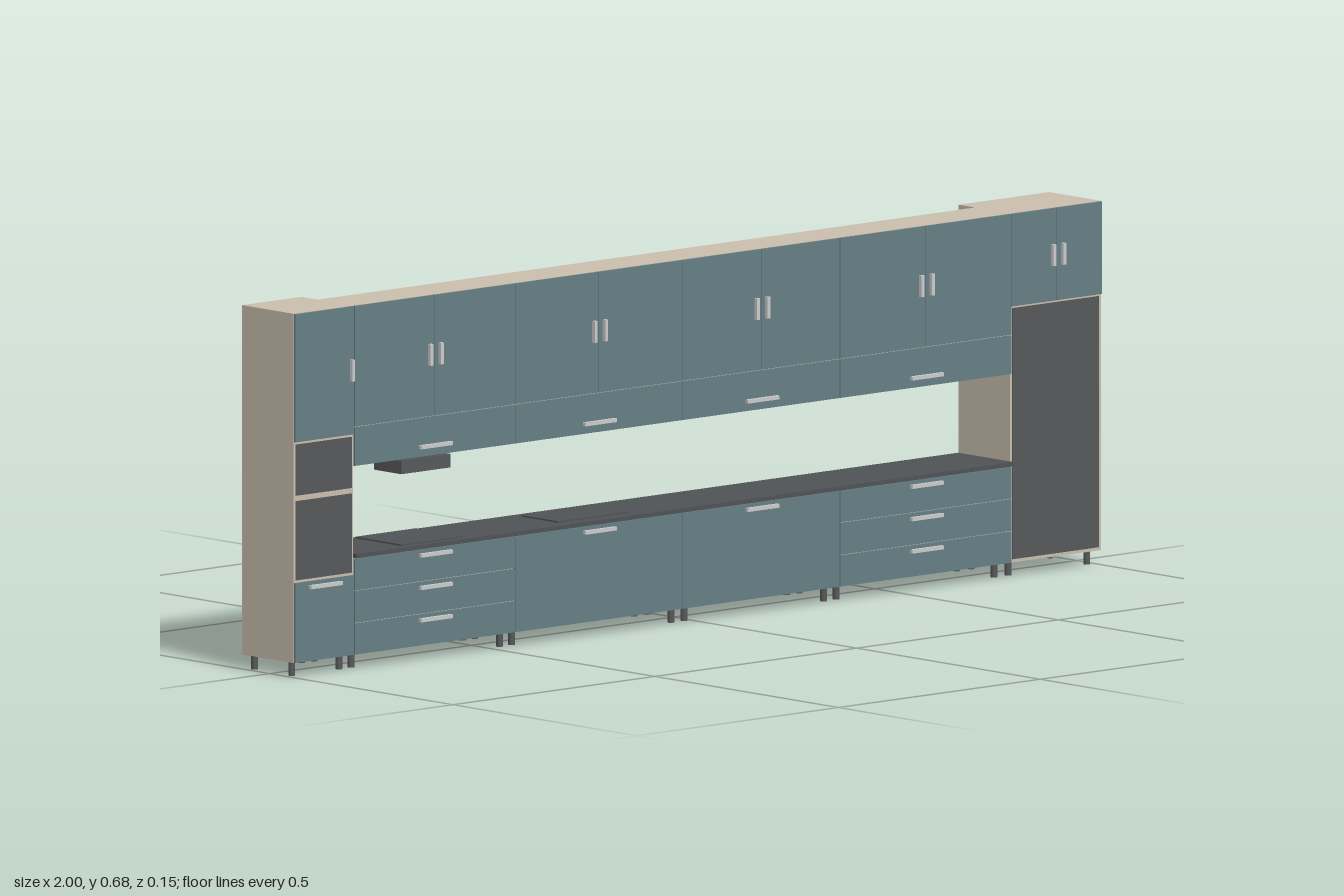
import * as THREE from 'three';

const mat = (name, color) => {
  const m = new THREE.MeshStandardMaterial({ color });
  m.name = name;
  return m;
};

export function createModel() {
  const root = new THREE.Group();
  root.name = 'kitchenWall';
  const beige = mat('beige carcass', 0xcbbfad);
  const teal = mat('teal front', 0x678085);
  const grey = mat('grey back panel', 0xcfcfcd);
  const steel = mat('steel handle', 0xcccccc);
  const dark = mat('dark appliance', 0x57585a);
  const stone = mat('dark worktop', 0x505356);

  // Box given by its limits on each axis
  const box = (name, m, x0, x1, y0, y1, z0, z1) => {
    const mesh = new THREE.Mesh(new THREE.BoxGeometry(x1 - x0, y1 - y0, z1 - z0), m);
    mesh.position.set((x0 + x1) / 2, (y0 + y1) / 2, (z0 + z1) / 2);
    mesh.name = name;
    root.add(mesh);
    return mesh;
  };

  const BACK = -0.075, FACE = 0.066, DOOR = 0.07, GRIP = 0.077;
  const FOOT = 0.027, TOP = 0.675, L = -0.853, R = 0.775, G = 0.0007;
  const UPPER = 0.377, SPLIT = 0.45, UPPER_BACK = -0.03;

  // Carcass with a grey back sheet
  const cabinet = (name, x0, x1, y0, y1, zBack) => {
    box(name, beige, x0, x1, y0, y1, zBack + 0.001, FACE);
    box(name + 'Back', grey, x0, x1, y0, y1, zBack, zBack + 0.001);
  };
  cabinet('ovenColumn', -1, L, FOOT, TOP, BACK);
  cabinet('fridgeColumn', R, 1, FOOT, TOP, BACK);
  cabinet('baseCabinet', L, R, FOOT, 0.207, BACK);
  cabinet('wallCabinet', L, R, UPPER, TOP, UPPER_BACK);

  // Fronts, separated by narrow gaps
  const front = (name, x0, x1, y0, y1) =>
    box(name, teal, x0 + G, x1 - G, y0 + G, y1 - G, FACE, DOOR);
  const barHandle = (x, y) =>
    box('barHandle', steel, x - 0.039, x + 0.039, y - 0.0035, y + 0.0035, DOOR, GRIP);
  const pullHandle = (x, y) =>
    box('pullHandle', steel, x - 0.0035, x + 0.0035, y - 0.02, y + 0.02, DOOR, GRIP);

  const edges = [L, -0.455, -0.04, 0.35, R];
  for (let i = 0; i < 4; i++) {
    const x0 = edges[i], x1 = edges[i + 1], c = (x0 + x1) / 2;
    // Wall units: a pair of doors above a flap
    front('wallDoor', x0, c, SPLIT, TOP);
    front('wallDoor', c, x1, SPLIT, TOP);
    front('wallFlap', x0, x1, UPPER, SPLIT);
    pullHandle(c - 0.013, 0.565);
    pullHandle(c + 0.013, 0.565);
    barHandle(c, 0.396);
    // Base units: outer ones have three drawers, inner ones a single front
    const rows = i === 0 || i === 3 ? [FOOT, 0.086, 0.146, 0.206] : [FOOT, 0.206];
    for (let j = 1; j < rows.length; j++) {
      front('baseFront', x0, x1, rows[j - 1], rows[j]);
      barHandle(c, rows[j] - 0.011);
    }
  }

  // Oven column
  front('ovenColumnDoor', -1, L, 0.436, TOP);
  pullHandle(-0.861, 0.556);
  box('microwave', dark, -0.996, L - 0.004, 0.337, 0.432, FACE, FACE + 0.001);
  box('oven', dark, -0.996, L - 0.004, 0.18, 0.327, FACE, FACE + 0.001);
  front('ovenColumnDrawer', -1, L, FOOT, 0.176);
  barHandle(-0.927, 0.165);

  // Fridge column
  front('fridgeTopDoor', R, 0.8875, 0.502, TOP);
  front('fridgeTopDoor', 0.8875, 1, 0.502, TOP);
  pullHandle(0.876, 0.588);
  pullHandle(0.901, 0.588);
  box('fridge', dark, R + 0.005, 0.995, 0.033, 0.499, FACE, FACE + 0.001);

  // Worktop, hob, sink and extractor hood
  box('worktop', stone, L, R, 0.207, 0.215, BACK, 0.075);
  box('hob', stone, -0.728, -0.578, 0.215, 0.218, -0.065, 0.06);
  box('sink', stone, -0.33, -0.155, 0.215, 0.218, -0.05, 0.05);
  box('extractorHood', dark, -0.714, -0.592, 0.345, 0.37, -0.03, 0.045);
  box('hoodNeck', dark, -0.705, -0.601, 0.37, UPPER, -0.025, 0.04);

  // Feet
  const footGeo = new THREE.CylinderGeometry(0.0062, 0.0062, FOOT, 16);
  const footX = [-0.985, -0.868, -0.838, -0.47, -0.44, -0.045, -0.013, 0.333, 0.364, 0.755, 0.79, 0.985];
  for (const x of footX) {
    for (const z of [0.044, -0.057]) {
      const foot = new THREE.Mesh(footGeo, dark);
      foot.name = 'foot';
      foot.position.set(x, FOOT / 2, z);
      root.add(foot);
    }
  }
  return root;
}
